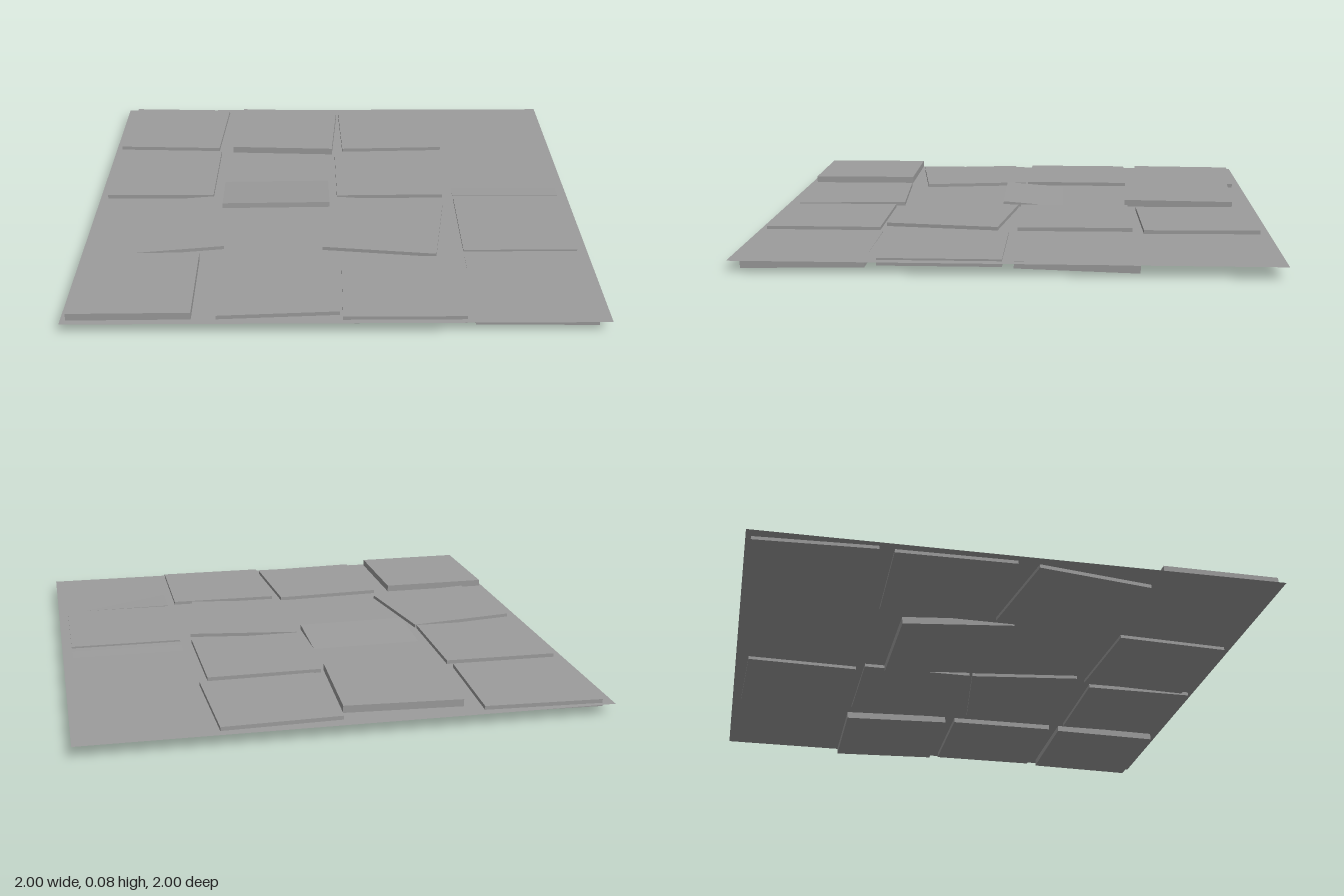
import * as THREE from 'three';

const TILE = 0.452, THICK = 0.028, GROUND_Y = 0.045;

// Each slab: centre x, centre z, height of the top's centre, yaw, pitch, roll
const SLABS = [
  // back row
  [-0.74, -0.745, 0.060, -0.045, 0, 0],
  [-0.22, -0.69, 0.080, -0.055, 0, 0],
  [0.26, -0.73, 0.060, 0.035, 0, 0],
  // second row
  [-0.74, -0.245, 0.060, -0.01, 0, 0],
  [-0.25, -0.155, 0.0475, 0.02, -0.085, 0],
  [0.235, -0.24, 0.060, 0.015, 0, 0],
  [0.735, -0.255, 0.0405, 0, -0.03, 0],
  // third row
  [-0.70, 0.25, 0.059, 0.155, 0, 0],
  [0.205, 0.255, 0.059, -0.135, 0, 0],
  [0.735, 0.24, 0.052, 0, 0, 0],
  // front row
  [-0.755, 0.75, 0.076, 0.01, 0, 0],
  [-0.225, 0.73, 0.060, 0.06, 0, 0],
  [0.25, 0.75, 0.058, 0, 0, 0],
  [0.735, 0.735, 0.0425, 0, 0.0165, -0.0077],
];

export function createModel() {
  const group = new THREE.Group();
  group.name = 'pavedGround';

  const stone = new THREE.MeshStandardMaterial({ color: 0x9c9c9c, side: THREE.DoubleSide });
  stone.name = 'greyStone';

  // Thin ground sheet the slabs are bedded in
  const ground = new THREE.Mesh(new THREE.PlaneGeometry(2, 2).rotateX(-Math.PI / 2), stone);
  ground.name = 'groundSheet';
  ground.position.y = GROUND_Y;
  group.add(ground);

  // Loose paving slabs, pivoting about the middle of their top face
  const slabGeometry = new THREE.BoxGeometry(TILE, THICK, TILE).translate(0, -THICK / 2, 0);
  SLABS.forEach(([x, z, top, yaw, pitch, roll], i) => {
    const slab = new THREE.Mesh(slabGeometry, stone);
    slab.name = `pavingSlab${i + 1}`;
    slab.position.set(x, top, z);
    slab.rotation.set(pitch, yaw, roll, 'YXZ');
    group.add(slab);
  });

  return group;
}
